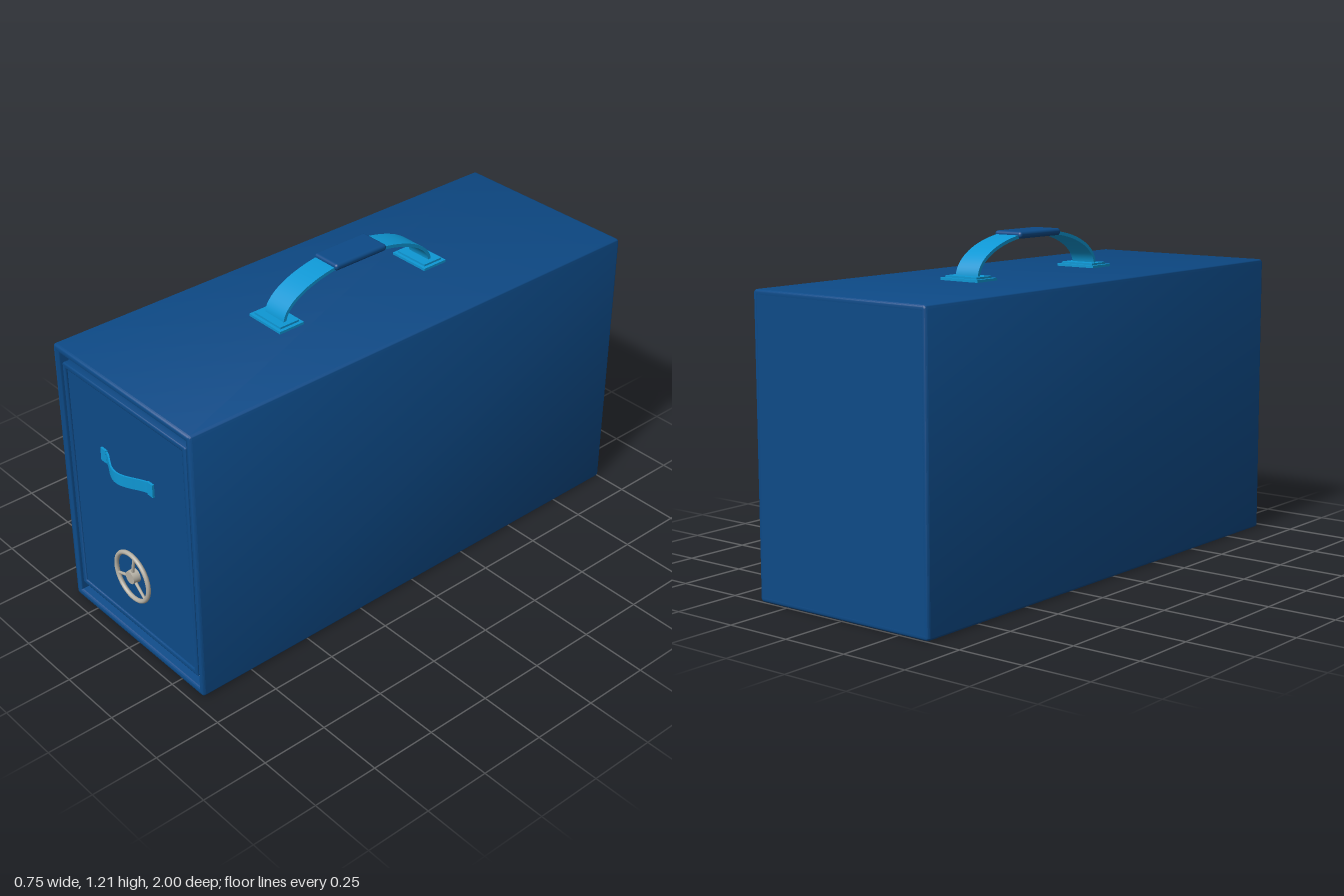
import * as THREE from 'three';
import { toCreasedNormals } from 'three/addons/utils/BufferGeometryUtils.js';
import { RoundedBoxGeometry } from 'three/addons/geometries/RoundedBoxGeometry.js';

const mat = (name, color) => new THREE.MeshStandardMaterial({ name, color });

// Rounded rectangle outline, usable as a shape or a hole
function roundRect(path, x0, y0, x1, y1, r) {
  path.moveTo(x0 + r, y0);
  path.lineTo(x1 - r, y0).absarc(x1 - r, y0 + r, r, -Math.PI / 2, 0);
  path.lineTo(x1, y1 - r).absarc(x1 - r, y1 - r, r, 0, Math.PI / 2);
  path.lineTo(x0 + r, y1).absarc(x0 + r, y1 - r, r, Math.PI / 2, Math.PI);
  path.lineTo(x0, y0 + r).absarc(x0 + r, y0 + r, r, Math.PI, Math.PI * 1.5);
  return path;
}

// Rectangular ring running from z0 to z1 with softened rims
function ring(x, y0, y1, wall, z0, z1, bevel) {
  const b = bevel;
  const shape = roundRect(new THREE.Shape(), -x + b, y0 + b, x - b, y1 - b, 0.004);
  shape.holes.push(roundRect(new THREE.Path(), -x + wall - b, y0 + wall - b, x - wall + b, y1 - wall + b, 0.004));
  const geo = new THREE.ExtrudeGeometry(shape, {
    depth: z1 - z0 - 2 * b, bevelEnabled: true, bevelSize: b, bevelThickness: b, bevelSegments: 3, curveSegments: 4,
  });
  geo.translate(0, 0, z0 + b);
  return toCreasedNormals(geo, 0.7);
}

// Bent metal strip: a line of points given thickness and width
function strip(points, thickness, width) {
  const normals = points.map((p, i) => {
    const a = points[Math.max(i - 1, 0)], c = points[Math.min(i + 1, points.length - 1)];
    const d = c.clone().sub(a).normalize();
    return new THREE.Vector2(-d.y, d.x).multiplyScalar(thickness / 2);
  });
  const upper = points.map((p, i) => p.clone().add(normals[i]));
  const lower = points.map((p, i) => p.clone().sub(normals[i])).reverse();
  const geo = new THREE.ExtrudeGeometry(new THREE.Shape([...upper, ...lower]), { depth: width, bevelEnabled: false });
  geo.translate(0, 0, -width / 2);
  return toCreasedNormals(geo, 0.6);
}

export function createModel() {
  const model = new THREE.Group();
  const blue = mat('dark blue', 0x0d4a87);
  const cyan = mat('bright blue', 0x0e97d4);
  const silver = mat('warm silver', 0xb5b0a4);

  const add = (name, geo, material, x = 0, y = 0, z = 0, parent = model) => {
    const mesh = new THREE.Mesh(geo, material);
    mesh.name = name;
    mesh.position.set(x, y, z);
    parent.add(mesh);
    return mesh;
  };
  const box = (w, h, d) => new THREE.BoxGeometry(w, h, d);

  // Case: shell open at the front, closed at the back
  add('caseShell', ring(0.375, 0, 1.055, 0.026, -1, 0.96, 0.009), blue);
  add('backPanel', box(0.73, 1.03, 0.02), blue, 0, 0.5275, -0.99);
  add('recessPanel', box(0.72, 1.02, 0.01), blue, 0, 0.5275, 0.915);

  // Door with raised rim
  add('doorRim', ring(0.338, 0.065, 0.995, 0.02, 0.92, 0.953, 0.004), blue);
  add('doorPanel', box(0.64, 0.9, 0.03), blue, 0, 0.53, 0.932);

  // Seal strips in the gap around the door
  add('bottomSeal', box(0.66, 0.007, 0.02), silver, 0, 0.058, 0.93);
  for (const s of [-1, 1]) add('sideSeal', box(0.004, 0.1, 0.02), silver, s * 0.346, 0.13, 0.93);

  // Bowed door pull
  const bow = [new THREE.Vector2(-0.145, 0.951)];
  for (let i = 0; i <= 24; i++) {
    const x = -0.118 + 0.236 * i / 24;
    bow.push(new THREE.Vector2(x, 0.951 + 0.045 * Math.cos(Math.PI * x / 0.236) ** 1.5));
  }
  bow.push(new THREE.Vector2(0.145, 0.951));
  add('doorPull', strip(bow, 0.006, 0.043), cyan, 0, 0.726).rotation.x = Math.PI / 2;
  for (const s of [-1, 1]) add('pullFoot', box(0.03, 0.05, 0.008), cyan, s * 0.13, 0.726, 0.951);

  // Three-spoke hand wheel
  const wheel = new THREE.Group();
  wheel.name = 'handWheel';
  wheel.position.set(0, 0.296, 0.963);
  model.add(wheel);
  add('wheelRim', new THREE.TorusGeometry(0.092, 0.0085, 10, 48), silver, 0, 0, 0, wheel);
  add('wheelHub', new THREE.CylinderGeometry(0.024, 0.027, 0.03, 24), silver, 0, 0, -0.004, wheel).rotation.x = Math.PI / 2;
  for (let i = 0; i < 3; i++) {
    const a = THREE.MathUtils.degToRad(79 + i * 120);
    const spoke = add('wheelSpoke', new THREE.CylinderGeometry(0.005, 0.006, 0.075, 10), silver,
      Math.cos(a) * 0.052, Math.sin(a) * 0.052, 0, wheel);
    spoke.rotation.z = a - Math.PI / 2;
  }

  // Carrying handle on the lid
  const handle = new THREE.Group();
  handle.name = 'carryHandle';
  handle.position.set(0, 1.055, -0.022);
  model.add(handle);
  const arch = [];
  for (let i = 0; i <= 40; i++) {
    const a = Math.PI * i / 40;
    arch.push(new THREE.Vector2(-0.334 * Math.cos(a), 0.008 + 0.137 * Math.sin(a)));
  }
  add('handleStrap', strip(arch, 0.012, 0.098), cyan, 0, 0, 0, handle).rotation.y = -Math.PI / 2;
  add('handleGrip', new RoundedBoxGeometry(0.12, 0.025, 0.232, 4, 0.011), blue, 0, 0.1425, -0.002, handle);
  for (const s of [-1, 1]) {
    add('handleFoot', box(0.164, 0.009, 0.104), cyan, 0, 0.0045, s * 0.33, handle);
    add('handleFootStep', box(0.138, 0.008, 0.08), cyan, 0, 0.012, s * 0.33, handle);
  }
  return model;
}
